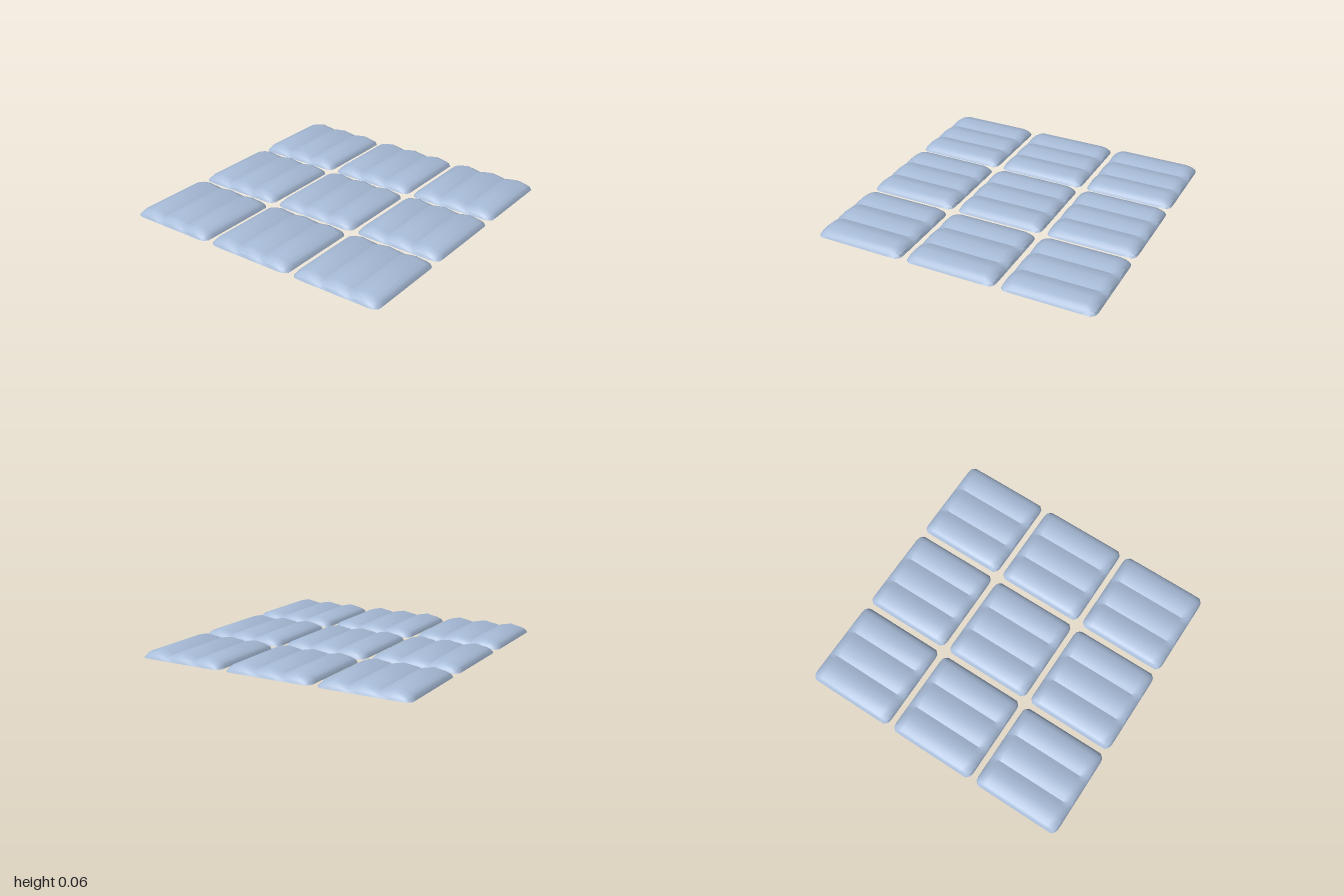
import * as THREE from 'three';
import { toCreasedNormals } from 'three/addons/utils/BufferGeometryUtils.js';

const HALF = 0.32;   // half width of one pad
const PITCH = 0.68;  // spacing between pads
const CUT = 0.03;    // corner cut
const TOP = 0.06;    // ridge height

// Cross-section over the ridges: [z, height], mirrored about z = 0
const RIDGES = [[0, TOP], [0.07, 0.047], [0.104, 0.035], [0.138, 0.047], [0.205, TOP],
  [0.265, 0.046], [0.295, 0.036], [0.311, 0.022], [HALF, 0]];
// Rounded ends: [x, share of the full height], mirrored about x = 0
const ENDS = [[0.25, 1], [0.285, 0.77], [0.311, 0.4], [HALF, 0]];

function mirrored(half) {
  const other = half.filter(([p]) => p > 0).reverse().map(([p, h]) => [-p, h]);
  return [...other, ...half];
}

// Open shell: ridge section swept along x, sinking to the rim at both ends
function padGeometry() {
  const rows = mirrored(RIDGES);
  const cols = mirrored(ENDS);
  const positions = [];
  const index = [];
  rows.forEach(([z, h], i) => {
    const pull = Math.max(0, CUT - (HALF - Math.abs(z)));
    cols.forEach(([x, share], j) => {
      positions.push(x - Math.sign(x) * pull, h * share, z);
      if (i < rows.length - 1 && j < cols.length - 1) {
        const a = i * cols.length + j;
        const b = a + cols.length;
        index.push(a, b, a + 1, a + 1, b, b + 1);
      }
    });
  });
  const geometry = new THREE.BufferGeometry();
  geometry.setAttribute('position', new THREE.Float32BufferAttribute(positions, 3));
  geometry.setIndex(index);
  return toCreasedNormals(geometry, 0.6);
}

export function createModel() {
  const model = new THREE.Group();
  model.name = 'ridgedPads';
  const material = new THREE.MeshStandardMaterial({ color: 0xa8bcd8, side: THREE.DoubleSide });
  material.name = 'paleBlue';
  const geometry = padGeometry();

  // Three by three pads
  for (let row = -1; row <= 1; row++) {
    for (let col = -1; col <= 1; col++) {
      const pad = new THREE.Mesh(geometry, material);
      pad.name = `pad${(row + 1) * 3 + col + 2}`;
      pad.position.set(col * PITCH, 0, row * PITCH);
      model.add(pad);
    }
  }
  return model;
}
